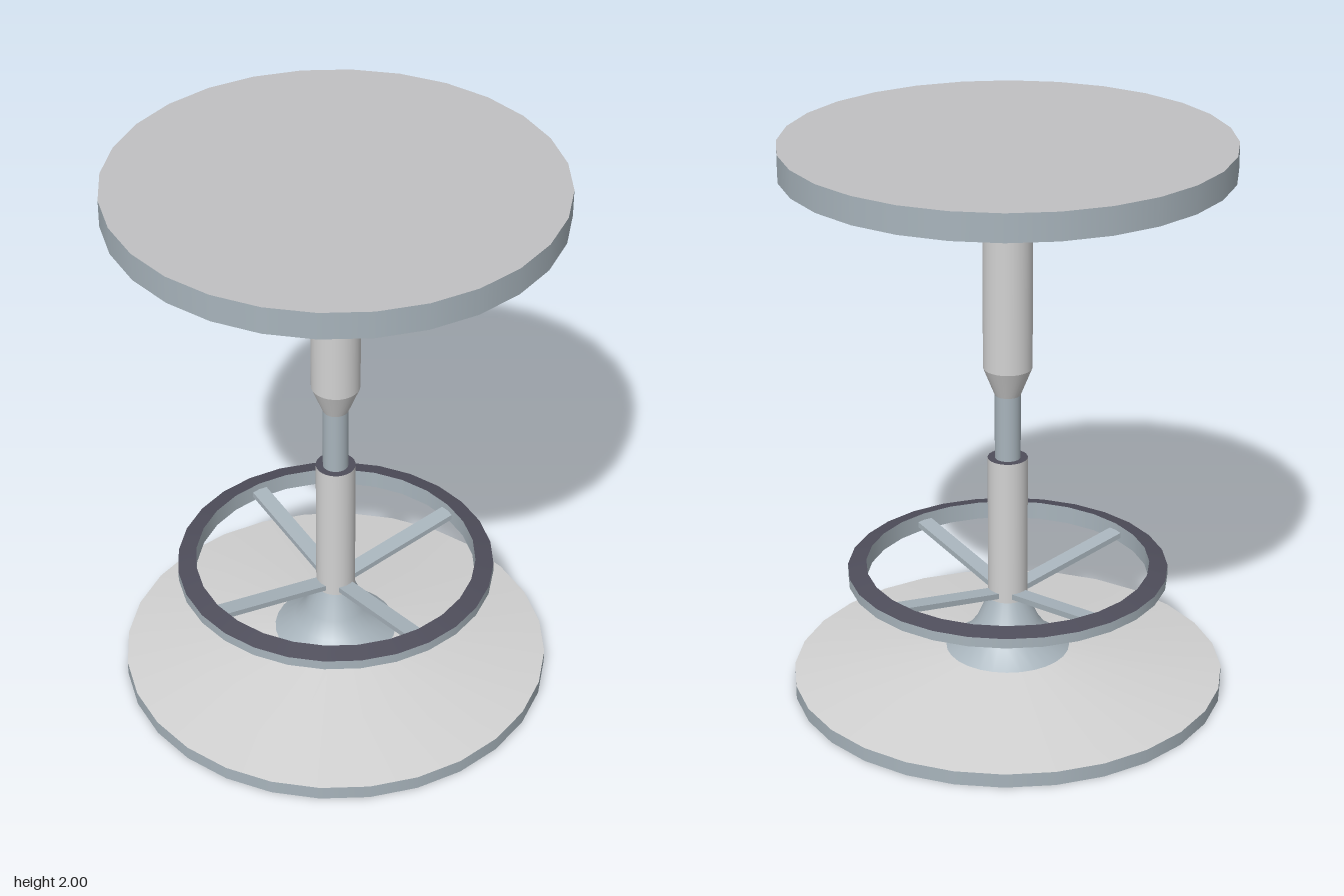
import * as THREE from 'three';

const paint = (name, color) =>
  new THREE.MeshStandardMaterial({ name, color, side: THREE.DoubleSide });

export function createModel() {
  const model = new THREE.Group();
  model.name = 'barStool';

  const paleGrey = paint('paleGrey', 0xd2d2d2);
  const seatGrey = paint('seatGrey', 0xc0c0c2);
  const steelBlue = paint('steelBlue', 0xa8b4bc);
  const darkGrey = paint('darkGrey', 0x4e4d5a);

  const add = (parent, name, geometry, material) => {
    const mesh = new THREE.Mesh(geometry, material);
    mesh.name = name;
    parent.add(mesh);
    return mesh;
  };
  const group = (name) => {
    const g = new THREE.Group();
    g.name = name;
    model.add(g);
    return g;
  };
  // Open round wall from radius r0 at height y0 up to radius r1 at height y1
  const band = (parent, name, r0, y0, r1, y1, material, sides = 28) => {
    const geometry = new THREE.CylinderGeometry(r1, r0, y1 - y0, sides, 1, true);
    geometry.translate(0, (y0 + y1) / 2, 0);
    return add(parent, name, geometry, material);
  };
  // Flat disc facing up (1) or down (-1)
  const disc = (parent, name, r, y, facing, material) => {
    const geometry = new THREE.CircleGeometry(r, 28);
    geometry.rotateX(-facing * Math.PI / 2);
    geometry.translate(0, y, 0);
    return add(parent, name, geometry, material);
  };

  // Base: hollow shallow cone with a rim and a flared collar
  const base = group('base');
  band(base, 'baseRim', 0.765, 0, 0.765, 0.05, steelBlue);
  band(base, 'baseCone', 0.765, 0.05, 0.22, 0.135, paleGrey);
  const flare = [[0.22, 0.135], [0.15, 0.185], [0.11, 0.24], [0.068, 0.335]]
    .map(([r, y]) => new THREE.Vector2(r, y));
  add(base, 'baseFlare', new THREE.LatheGeometry(flare, 28), steelBlue);

  // Telescopic column
  const column = group('column');
  band(column, 'lowerTube', 0.07, 0.33, 0.07, 0.865, paleGrey);
  const lip = new THREE.RingGeometry(0.045, 0.07, 28);
  lip.rotateX(-Math.PI / 2).translate(0, 0.865, 0);
  add(column, 'lowerTubeLip', lip, darkGrey);
  band(column, 'piston', 0.045, 0.84, 0.045, 1.1, steelBlue);
  band(column, 'upperTaper', 0.045, 1.1, 0.085, 1.2, paleGrey);
  band(column, 'upperTube', 0.085, 1.2, 0.085, 1.8, paleGrey);
  band(column, 'seatSocket', 0.085, 1.8, 0.135, 1.905, paleGrey);

  // Foot ring with sloping top and bottom faces
  const footRest = group('footRest');
  band(footRest, 'ringOuterWall', 0.565, 0.415, 0.565, 0.45, steelBlue);
  band(footRest, 'ringInnerWall', 0.5, 0.4, 0.5, 0.465, steelBlue);
  band(footRest, 'ringTop', 0.565, 0.45, 0.5, 0.465, darkGrey);
  band(footRest, 'ringBottom', 0.5, 0.4, 0.565, 0.415, darkGrey);

  // Four spokes rising from the column to the ring
  const inner = new THREE.Vector2(0.05, 0.352);
  const outer = new THREE.Vector2(0.505, 0.43);
  const run = outer.clone().sub(inner);
  for (let i = 0; i < 4; i++) {
    const geometry = new THREE.BoxGeometry(run.length(), 0.02, 0.06);
    geometry.rotateZ(run.angle());
    geometry.translate((inner.x + outer.x) / 2, (inner.y + outer.y) / 2, 0);
    geometry.rotateY(i * Math.PI / 2);
    add(footRest, 'spoke', geometry, steelBlue);
  }

  // Seat
  const seat = group('seat');
  band(seat, 'seatEdge', 0.765, 1.905, 0.765, 2, steelBlue);
  disc(seat, 'seatTop', 0.765, 2, 1, seatGrey);
  disc(seat, 'seatUnderside', 0.765, 1.905, -1, darkGrey);

  return model;
}
